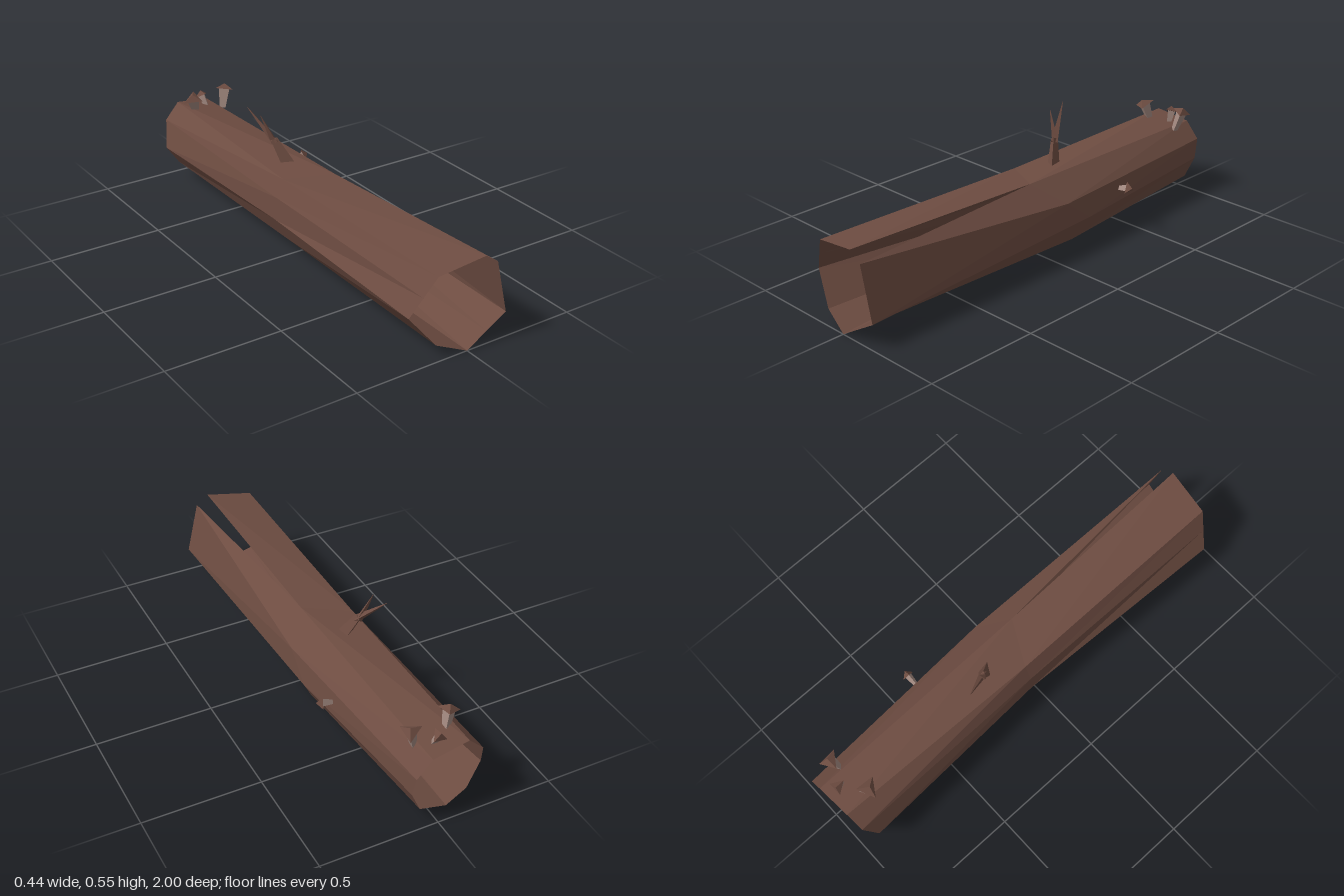
import * as THREE from 'three';

const bark = new THREE.MeshStandardMaterial({ name: 'bark', color: 0x6d4c41, flatShading: true, side: THREE.DoubleSide });
const stemTan = new THREE.MeshStandardMaterial({ name: 'stemTan', color: 0xa1887f, flatShading: true, side: THREE.DoubleSide });

// Cross-sections of the log, anticlockwise from the bottom: [x, y, z]
const FRONT = [[0, 0, 1], [0.09, 0.055, 1], [0.18, 0.11, 1], [0.125, 0.34, 1], [0.07, 0.38, 1],
  [-0.135, 0.345, 0.98], [-0.18, 0.26, 0.955], [-0.225, 0.175, 0.93], [-0.125, 0.05, 0.97]];
const MIDDLE = [[-0.04, 0.025, -0.1], [0.11, 0.04, -0.15], [0.165, 0.145, -0.2], [0.158, 0.245, -0.07], [0.055, 0.34, 0.05],
  [-0.135, 0.325, -0.05], [-0.17, 0.25, -0.05], [-0.177, 0.15, -0.05], [-0.13, 0.055, -0.05]];
const INNER = [[-0.045, 0.038, -0.1], [0.075, 0.065, -0.1], [0.14, 0.155, -0.15], [0.135, 0.24, -0.07], [0.04, 0.315, 0.02],
  [-0.09, 0.29, -0.05], [-0.118, 0.215, -0.05], [-0.145, 0.14, -0.05], [-0.068, 0.042, -0.05]];
const BACK = [[-0.05, 0.04, -0.97], [0.065, 0.07, -0.97], [0.11, 0.17, -0.98], [0.105, 0.258, -1], [0.04, 0.33, -1],
  [-0.12, 0.352, -0.99], [-0.19, 0.282, -0.98], [-0.22, 0.165, -0.93], [-0.15, 0.07, -0.95]];
const SPLIT = 3; // panel that has cracked open at the front

function facesToMesh(name, tris, material) {
  const geo = new THREE.BufferGeometry();
  geo.setAttribute('position', new THREE.Float32BufferAttribute(tris.flat(2), 3));
  geo.computeVertexNormals();
  const mesh = new THREE.Mesh(geo, material);
  mesh.name = name;
  return mesh;
}

// Joins the three sections into one wall; the split panel narrows to a triangle
function wall(name, mid, inward) {
  const tris = [];
  const add = (a, b, c) => tris.push(inward ? [a, c, b] : [a, b, c]);
  const n = mid.length;
  for (let i = 0; i < n; i++) {
    const j = (i + 1) % n;
    add(FRONT[i], mid[i], mid[j]);
    if (i !== SPLIT) add(FRONT[i], mid[j], FRONT[j]);
    add(mid[i], BACK[i], BACK[j]);
    add(mid[i], BACK[j], mid[j]);
  }
  return facesToMesh(name, tris, bark);
}

// Tapered shaft between two points
function shaft(name, a, b, ra, rb, material, sides = 3, spin = 0) {
  const p = new THREE.Vector3(...a), q = new THREE.Vector3(...b);
  const dir = q.clone().sub(p);
  const geo = new THREE.CylinderGeometry(rb, ra, dir.length(), sides);
  geo.rotateY(spin);
  const mesh = new THREE.Mesh(geo, material);
  mesh.name = name;
  mesh.position.copy(p).add(q).multiplyScalar(0.5);
  mesh.quaternion.setFromUnitVectors(new THREE.Vector3(0, 1, 0), dir.normalize());
  return mesh;
}

// Three-sided mushroom: flared stem with a shallow drooping cap
function mushroom(name, base, top, rStem, rCap, spin) {
  const g = new THREE.Group();
  g.name = name;
  const dir = new THREE.Vector3(...top).sub(new THREE.Vector3(...base)).normalize();
  const at = (d) => new THREE.Vector3(...top).addScaledVector(dir, d).toArray();
  g.add(shaft('stem', base, at(-0.008), rStem, rCap * 0.6, stemTan, 3, spin));
  g.add(shaft('cap', at(-0.012), at(0.012), rCap, 0.001, bark, 3, spin));
  return g;
}

export function createModel() {
  const model = new THREE.Group();
  model.name = 'hollowLog';

  model.add(wall('outerBark', MIDDLE, false));
  model.add(wall('innerHollow', INNER, true));

  // Thickness of the wood along both sides of the crack
  const k = SPLIT + 1;
  model.add(facesToMesh('crackEdges', [
    [FRONT[k], MIDDLE[k], INNER[k]],
    [FRONT[SPLIT], INNER[k], MIDDLE[k]],
  ], bark));

  // Forked twig on top
  const twig = new THREE.Group();
  twig.name = 'twig';
  const fork = [-0.07, 0.43, -0.225];
  twig.add(shaft('twigBase', [-0.03, 0.32, -0.175], fork, 0.032, 0.017, bark, 3, 0.6));
  twig.add(shaft('longTip', [-0.065, 0.415, -0.215], [-0.13, 0.55, -0.34], 0.018, 0.001, bark));
  twig.add(shaft('shortTip', [-0.067, 0.415, -0.225], [-0.12, 0.54, -0.25], 0.016, 0.001, bark));
  model.add(twig);

  // Mushrooms at the back end and on the side
  model.add(mushroom('tallMushroomRight', [-0.085, 0.335, -0.88], [-0.11, 0.418, -0.86], 0.017, 0.05, 0.5));
  model.add(mushroom('tallMushroomLeft', [0.058, 0.32, -0.885], [0.083, 0.415, -0.905], 0.016, 0.047, 2.6));
  model.add(mushroom('smallMushroom', [-0.005, 0.33, -0.92], [-0.016, 0.388, -0.95], 0.012, 0.035, 0));
  model.add(mushroom('sideMushroom', [0.14, 0.205, -0.41], [0.205, 0.222, -0.41], 0.01, 0.03, 0.5));

  return model;
}
